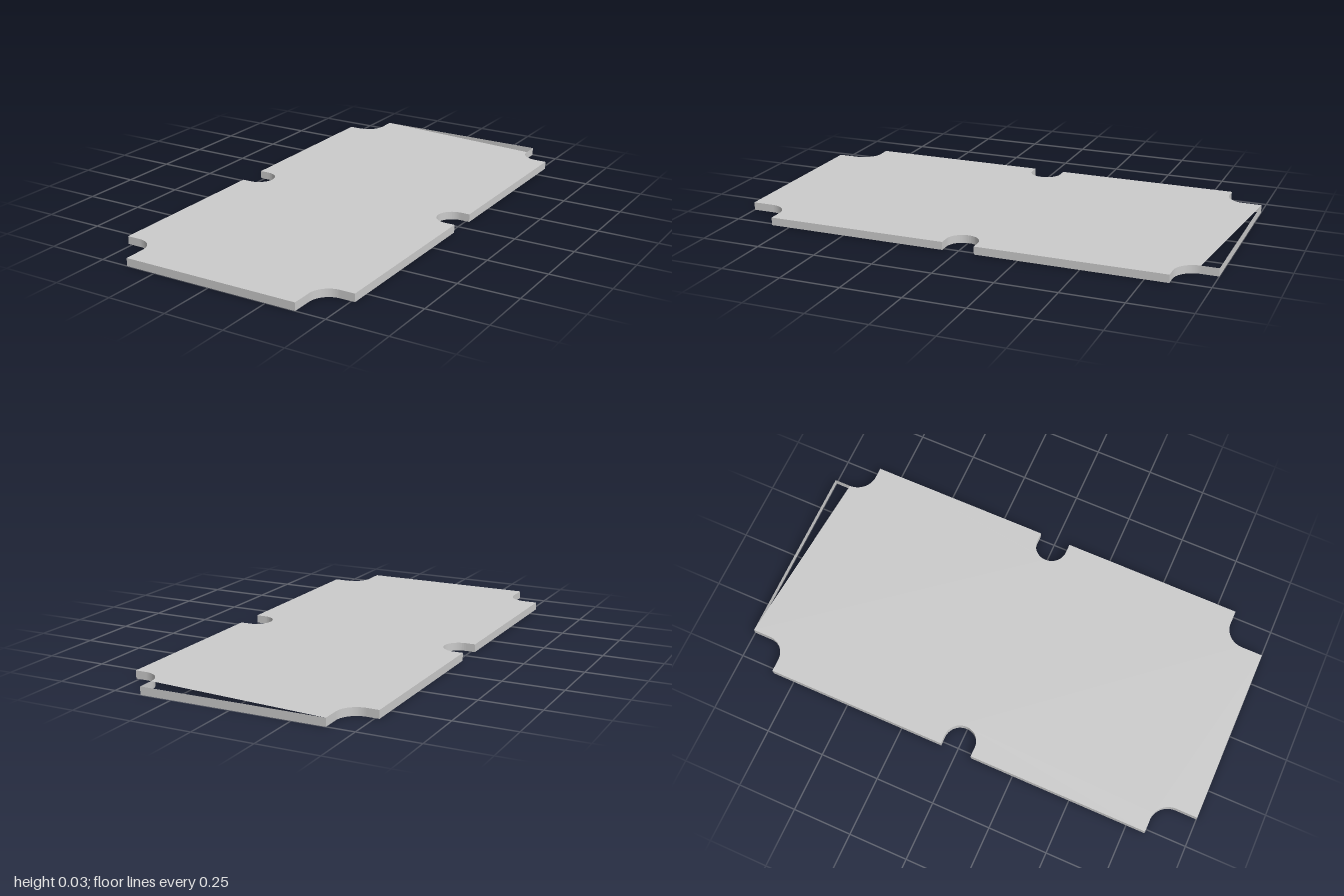
import * as THREE from 'three';

const HEIGHT = 0.033;
const PI = Math.PI;

// Outline in plan, counter-clockwise, with plan y = -z.
// The two variants differ only in the back left corner point.
function outline(withBackCorner) {
  const s = new THREE.Shape();
  s.moveTo(-0.38, -1);
  s.lineTo(0.375, -1);
  // front corner notch, +x
  s.absarc(0.455, -0.91, 0.08, PI, PI / 2, true);
  s.lineTo(0.515, -0.83);
  // middle notch, +x
  s.lineTo(0.515, -0.064);
  s.absarc(0.475, 0.003, 0.067, -PI / 2, PI / 2, true);
  s.lineTo(0.515, 0.07);
  // back corner notch, +x
  s.lineTo(0.515, 0.845);
  s.absarc(0.47, 0.93, 0.085, -PI / 2, -PI, true);
  if (withBackCorner) s.lineTo(0.385, 1);
  // back corner notch, -x
  s.lineTo(-0.387, 1);
  s.absarc(-0.467, 0.925, 0.08, 0, -PI / 2, true);
  s.lineTo(-0.517, 0.845);
  // middle notch, -x
  s.lineTo(-0.517, 0.07);
  s.absarc(-0.477, 0.003, 0.067, PI / 2, -PI / 2, true);
  s.lineTo(-0.517, -0.064);
  // front corner notch, -x
  s.lineTo(-0.517, -0.83);
  s.absarc(-0.46, -0.91, 0.08, PI / 2, 0, true);
  s.closePath();
  return s;
}

// Thin upright band following a closed outline
function bandGeometry(points) {
  const pos = [];
  points.forEach((a, i) => {
    const b = points[(i + 1) % points.length];
    if (a.distanceTo(b) < 1e-5) return;
    const a0 = [a.x, 0, -a.y], a1 = [a.x, HEIGHT, -a.y];
    const b0 = [b.x, 0, -b.y], b1 = [b.x, HEIGHT, -b.y];
    pos.push(...a0, ...b0, ...b1, ...a0, ...b1, ...a1);
  });
  const g = new THREE.BufferGeometry();
  g.setAttribute('position', new THREE.Float32BufferAttribute(pos, 3));
  g.computeVertexNormals();
  return g;
}

export function createModel() {
  const group = new THREE.Group();
  group.name = 'notchedTableBed';
  const material = new THREE.MeshStandardMaterial({ color: 0xcccccc, side: THREE.DoubleSide });

  // Top sheet, cut short of the back wall towards +x
  const sheetGeo = new THREE.ShapeGeometry(outline(false), 12);
  sheetGeo.rotateX(-PI / 2);
  sheetGeo.translate(0, HEIGHT, 0);
  const sheet = new THREE.Mesh(sheetGeo, material);
  sheet.name = 'topSheet';
  group.add(sheet);

  // Side wall all round, open underneath
  const wall = new THREE.Mesh(bandGeometry(outline(true).getPoints(12)), material);
  wall.name = 'sideWall';
  group.add(wall);

  return group;
}
